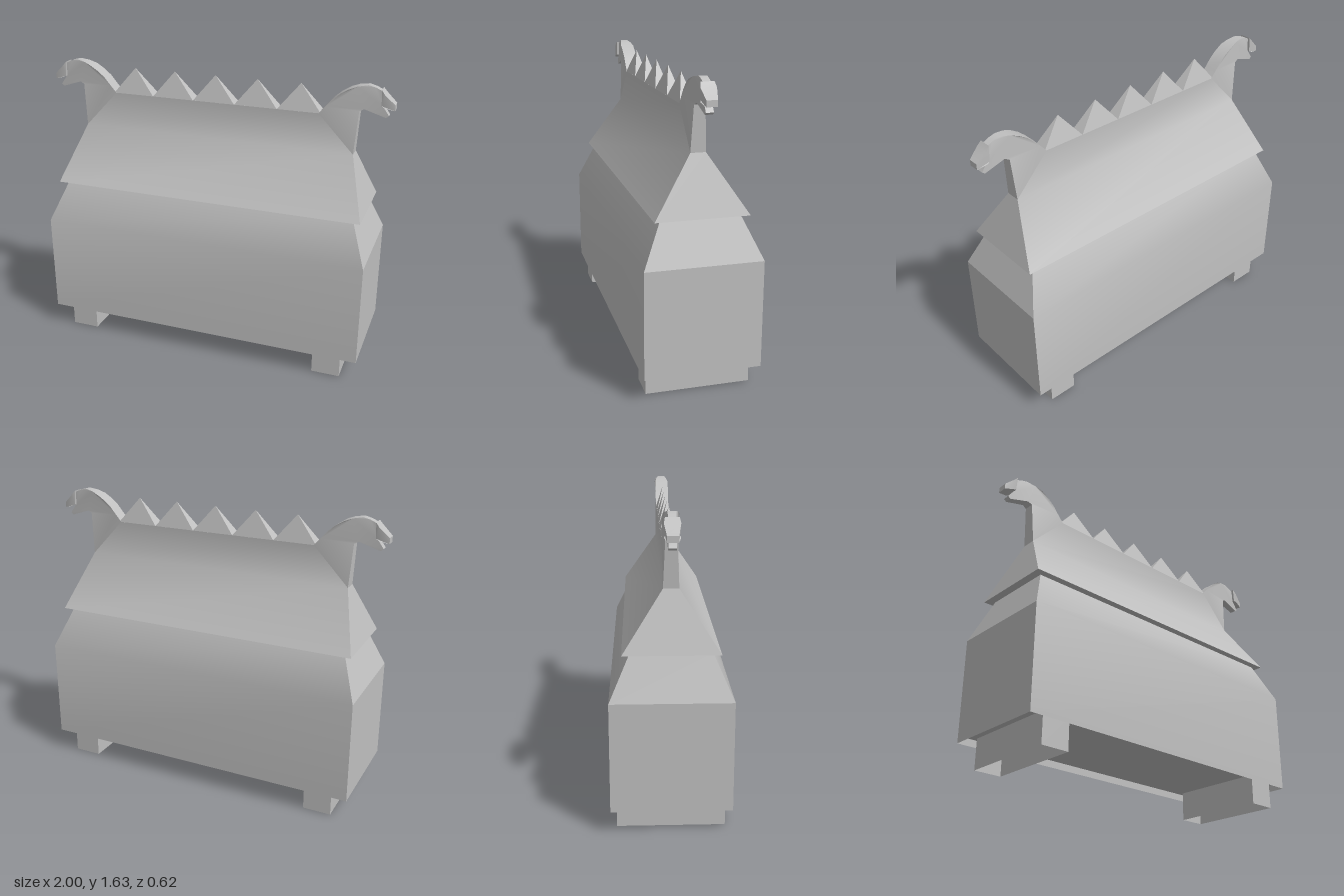
import * as THREE from 'three';
import { toCreasedNormals } from 'three/addons/utils/BufferGeometryUtils.js';

const stone = new THREE.MeshStandardMaterial({ color: 0xc0c0c0, side: THREE.DoubleSide });
stone.name = 'plain grey';

function add(parent, name, geometry) {
  const mesh = new THREE.Mesh(geometry, stone);
  mesh.name = name;
  parent.add(mesh);
  return mesh;
}

// One wall facing +z, made of rows [y, half width, distance out], then turned about y
function wall(rows, angle, flat) {
  const pos = [], index = [];
  rows.forEach(([y, w, d], i) => {
    pos.push(-w, y, d, w, y, d);
    const a = 2 * i;
    if (i) index.push(a - 2, a - 1, a + 1, a - 2, a + 1, a);
  });
  let g = new THREE.BufferGeometry();
  g.setAttribute('position', new THREE.Float32BufferAttribute(pos, 3));
  g.setIndex(index);
  if (flat) g = g.toNonIndexed();
  g.computeVertexNormals();
  return g.rotateY(angle);
}

// Four walls from levels [y, half x, half z]: smooth long sides, flat ends
function shell(parent, name, levels, endLevels = levels) {
  const group = new THREE.Group();
  group.name = name;
  for (const turn of [0, Math.PI]) {
    add(group, name + 'Side', wall(levels, turn, false));
    const ends = endLevels.map(([y, hx, hz]) => [y, hz, hx]);
    add(group, name + 'End', wall(ends, turn + Math.PI / 2, true));
  }
  parent.add(group);
  return group;
}

// Downward-facing plate
function plate(parent, name, w, d, x, y) {
  const mesh = add(parent, name, new THREE.PlaneGeometry(w, d).rotateX(Math.PI / 2));
  mesh.position.set(x, y, 0);
}

// Outline in x, y given a thickness that depends on x
function slab(points, halfThickness) {
  const shape = new THREE.Shape(points.map(([x, y]) => new THREE.Vector2(x, y)));
  const g = new THREE.ExtrudeGeometry(shape, { depth: 1, bevelEnabled: false });
  const p = g.attributes.position;
  for (let i = 0; i < p.count; i++) {
    p.setZ(i, (p.getZ(i) > 0.5 ? 1 : -1) * halfThickness(p.getX(i), p.getY(i)));
  }
  return toCreasedNormals(g, 0.6);
}

export function createModel() {
  const model = new THREE.Group();
  model.name = 'houseShapedShrine';

  // Chest with a recessed floor
  shell(model, 'chest', [[0.13, 0.945, 0.31], [0.71, 0.945, 0.31], [0.94, 0.855, 0.205]]);
  plate(model, 'chestFloor', 1.89, 0.62, 0, 0.17);

  // Roof sloping up into an upright crest
  const eave = [0.94, 0.9, 0.245], shoulder = [1.25, 0.8, 0.04], crest = [1.46, 0.6, 0.04];
  shell(model, 'roof', [eave, shoulder, crest], [eave, shoulder]);
  plate(model, 'roofUnderside', 1.8, 0.49, 0, 0.94);
  add(model, 'crestTop', new THREE.PlaneGeometry(1.225, 0.08).rotateX(-Math.PI / 2)).position.y = 1.46;

  // Row of pyramid spikes along the crest
  const spike = new THREE.ConeGeometry(Math.SQRT1_2, 1, 4, 1, true).toNonIndexed();
  spike.rotateY(Math.PI / 4).scale(0.245, 0.147, 0.08).computeVertexNormals();
  for (let i = -2; i <= 2; i++) {
    add(model, 'crestSpike', spike).position.set(i * 0.245, 1.533, 0);
  }

  // Neck with lower jaw, and the wider upper head
  const neck = slab([
    [0.6, 1.46], [0.8, 1.25], [0.815, 1.49], [0.84, 1.502], [0.955, 1.465], [0.97, 1.477],
    [0.935, 1.525], [0.93, 1.605], [0.89, 1.623], [0.853, 1.632], [0.8, 1.622], [0.757, 1.605],
    [0.71, 1.576], [0.67, 1.542], [0.635, 1.5],
  ], (x, y) => y < 1.3 ? 0.04 : THREE.MathUtils.clamp(0.04 - (x - 0.76) * 0.2, 0.02, 0.04));
  const head = slab([
    [0.93, 1.53], [0.945, 1.523], [1.0, 1.508], [1.0, 1.54], [0.945, 1.59], [0.925, 1.615],
  ], (x) => x < 0.935 ? 0.034 : THREE.MathUtils.mapLinear(x, 0.945, 1, 0.04, 0.028));

  // Both ends: beast head and hollow foot
  [1, -1].forEach((s) => {
    const end = new THREE.Group();
    end.name = s > 0 ? 'leftFinial' : 'rightFinial';
    add(end, 'neck', neck);
    add(end, 'head', head);
    end.rotation.y = s > 0 ? 0 : Math.PI;
    model.add(end);

    const foot = shell(model, 'foot', [[0, 0.08, 0.28], [0.17, 0.08, 0.28]]);
    foot.position.x = s * 0.77;
    plate(foot, 'footCap', 0.16, 0.56, 0, 0.12);
  });

  return model;
}
